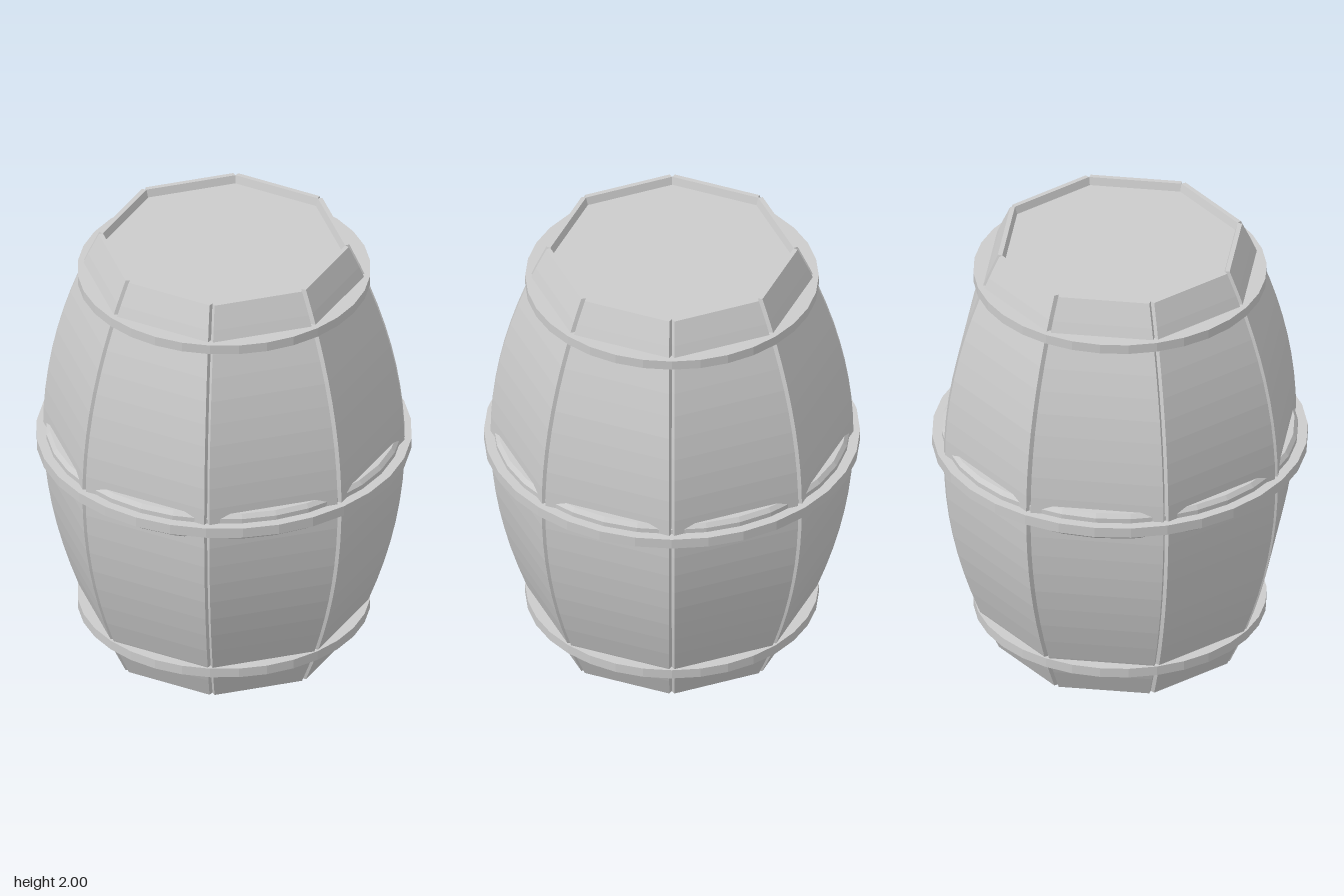
import * as THREE from 'three';

const material = new THREE.MeshStandardMaterial({ color: 0xcccccc, flatShading: true });
const STAVES = 8;
const HALF = Math.PI / STAVES;

// Octagonal cross-section at apothem a: two corners per stave and a groove point between staves
function ring(a, y, gap, depth) {
  const points = [];
  const w = a * Math.tan(HALF) - gap;
  for (let k = 0; k < STAVES; k++) {
    const t = k * 2 * HALF, s = Math.sin(t), c = Math.cos(t);
    points.push([s * a - c * w, y, c * a + s * w], [s * a + c * w, y, c * a - s * w]);
    const r = (a - depth) / Math.cos(HALF);
    points.push([Math.sin(t + HALF) * r, y, Math.cos(t + HALF) * r]);
  }
  return points;
}

// Skin a stack of cross-sections
function loft(rings) {
  const pos = [];
  for (let i = 0; i < rings.length - 1; i++) {
    const lo = rings[i], hi = rings[i + 1], n = lo.length;
    for (let j = 0; j < n; j++) {
      const k = (j + 1) % n;
      pos.push(...lo[j], ...lo[k], ...hi[k], ...lo[j], ...hi[k], ...hi[j]);
    }
  }
  const g = new THREE.BufferGeometry();
  g.setAttribute('position', new THREE.Float32BufferAttribute(pos, 3));
  g.computeVertexNormals();
  return g;
}

export function createModel() {
  const group = new THREE.Group();
  const add = (name, geometry, y = 0) => {
    const mesh = new THREE.Mesh(geometry, material);
    mesh.name = name;
    mesh.position.y = y;
    group.add(mesh);
  };

  // Bulging staves with thin grooves and a narrow rim at each end
  const rings = [ring(0.48, 0.035, 0, 0), ring(0.49, 0, 0, 0)];
  const steps = 20;
  for (let i = 0; i <= steps; i++) {
    const y = (2 * i) / steps;
    rings.push(ring(0.735 - 0.225 * (y - 1) ** 2, y, 0.012, 0.022));
  }
  rings.push(ring(0.49, 2, 0, 0), ring(0.48, 1.965, 0, 0));
  add('staves', loft(rings));

  // Recessed lids
  const lid = () => new THREE.CylinderGeometry(0.49 / Math.cos(HALF), 0.49 / Math.cos(HALF), 0.02, STAVES).rotateY(HALF);
  add('topLid', lid(), 1.955);
  add('bottomLid', lid(), 0.045);

  // Hoops
  const hoop = (r, h) => new THREE.CylinderGeometry(r, r, h, 32);
  add('bottomHoop', hoop(0.64, 0.044), 0.17);
  add('middleHoop', hoop(0.82, 0.047), 1);
  add('topHoop', hoop(0.64, 0.044), 1.83);

  // Bevelled band that shows through each stave behind the middle hoop
  const profile = [[0, -0.064], [0.762, -0.064], [0.777, -0.045], [0.777, 0.045], [0.762, 0.064], [0, 0.064]]
    .map(([x, y]) => new THREE.Vector2(x, y));
  add('middleBand', new THREE.LatheGeometry(profile, 32), 1);

  return group;
}
